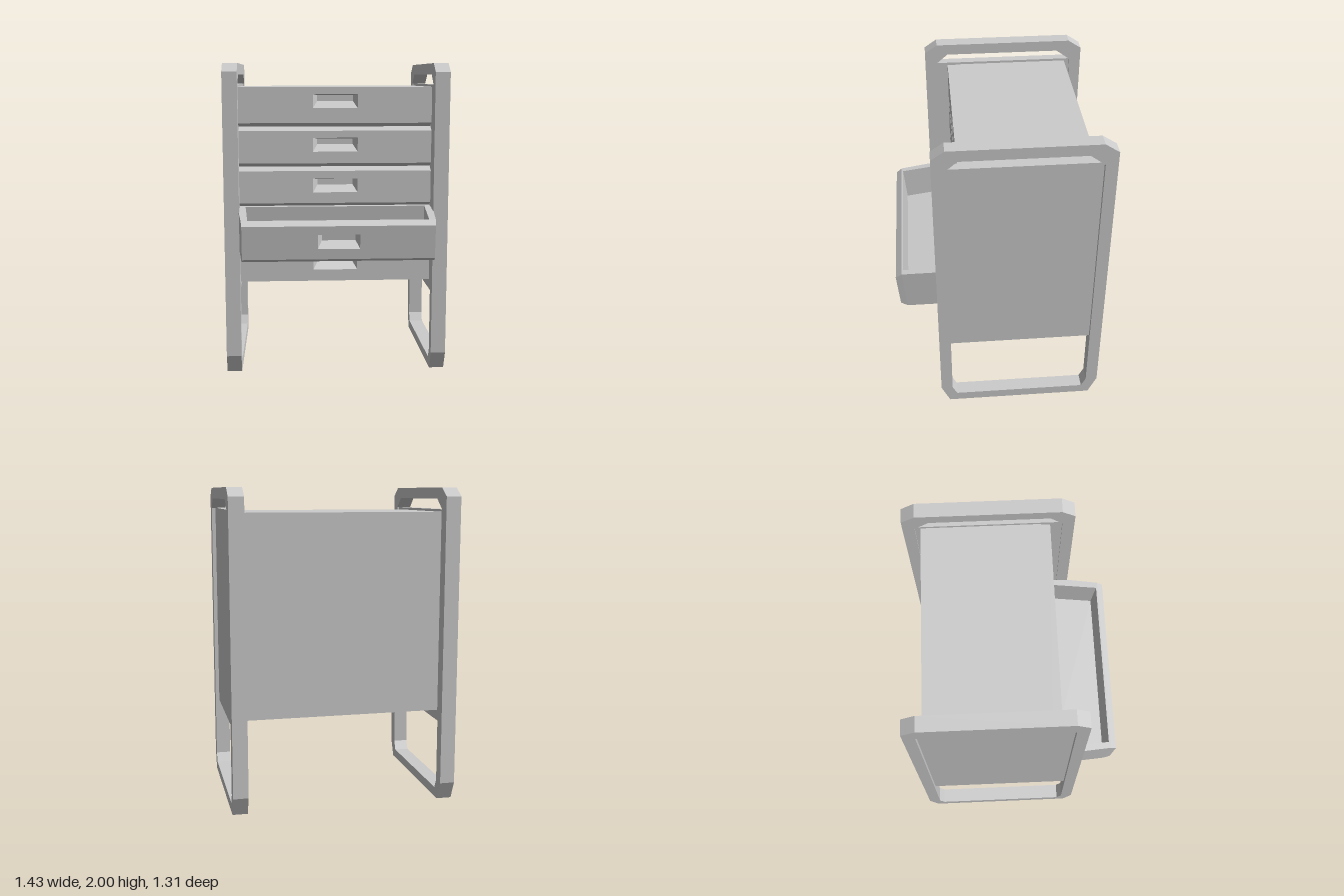
import * as THREE from 'three';

const material = new THREE.MeshStandardMaterial({ color: 0xcccccc, flatShading: true });

function mesh(name, geometry, x = 0, y = 0, z = 0) {
  const m = new THREE.Mesh(geometry, material);
  m.name = name;
  m.position.set(x, y, z);
  return m;
}

const points = (list) => list.map(([x, y]) => new THREE.Vector2(x, y));

function extrude(outline, hole, depth) {
  const shape = new THREE.Shape(points(outline));
  if (hole) shape.holes.push(new THREE.Path(points(hole)));
  return new THREE.ExtrudeGeometry(shape, { depth, bevelEnabled: false });
}

// Drawer front with bevelled edges and a sunken finger pull.
// grow: how far the sides, bottom and top spread towards the back.
function drawerFront({ halfWidth, y0, y1, pullTop, pullHalf, depth, grow }) {
  const pullBottom = pullTop - 0.09;
  const geo = extrude(
    [[-halfWidth, y0], [halfWidth, y0], [halfWidth, y1], [-halfWidth, y1]],
    [[-pullHalf, pullBottom], [-pullHalf, pullTop], [pullHalf, pullTop], [pullHalf, pullBottom]],
    depth
  );
  geo.translate(0, 0, -depth);
  const p = geo.attributes.position;
  const near = (a, b) => Math.abs(a - b) < 1e-5;
  for (let i = 0; i < p.count; i++) {
    if (p.getZ(i) > -depth / 2) continue;
    const x = p.getX(i), y = p.getY(i);
    if (near(Math.abs(x), halfWidth)) {
      p.setX(i, x + Math.sign(x) * grow[0]);
      p.setY(i, near(y, y0) ? y - grow[1] : y + grow[2]);
    } else {
      p.setX(i, x * 0.8);
      p.setY(i, near(y, pullBottom) ? y + 0.045 : y - 0.008);
    }
  }
  geo.computeVertexNormals();
  return geo;
}

// Pulled-out drawer, built around the centre of its front face.
function openDrawer() {
  const drawer = new THREE.Group();
  drawer.name = 'openDrawer';
  drawer.add(mesh('openDrawerFront', drawerFront({
    halfWidth: 0.595, y0: -0.105, y1: 0.105, pullTop: 0.05, pullHalf: 0.13,
    depth: 0.04, grow: [0.005, 0.025, 0.025]
  })));
  // Outlines are drawn with depth as the second axis, then laid flat.
  const outer = [[-0.6, 0.04], [0.6, 0.04], [0.622, 0.25], [0.622, 0.43], [-0.622, 0.43], [-0.622, 0.25]];
  const inner = [[-0.56, 0.05], [-0.585, 0.4], [0.585, 0.4], [0.56, 0.05]];
  const lay = (geo) => geo.rotateX(-Math.PI / 2);
  drawer.add(mesh('drawerWalls', lay(extrude(outer, inner, 0.26)), 0, -0.13, 0));
  drawer.add(mesh('drawerFloor', lay(extrude([...inner].reverse(), null, 0.04)), 0, -0.13, 0));
  drawer.position.set(0, 0.91, 0.645);
  drawer.rotation.x = 0.095;
  return drawer;
}

export function createModel() {
  const model = new THREE.Group();
  model.name = 'drawerCabinet';

  // Side frames: chamfered loops that serve as legs and top rails
  const loop = [[0.35, 0], [0.405, 0.12], [0.405, 1.945], [0.325, 2],
    [-0.57, 2], [-0.655, 1.945], [-0.655, 0.12], [-0.6, 0]];
  const opening = [[0.3, 0.06], [0.33, 0.12], [0.33, 1.865], [0.255, 1.93],
    [-0.49, 1.93], [-0.58, 1.865], [-0.58, 0.12], [-0.55, 0.06]];
  const frameGeo = extrude(loop, opening, 0.095);
  frameGeo.rotateY(-Math.PI / 2).translate(0.0475, 0, 0);

  for (const [side, s] of [['left', 1], ['right', -1]]) {
    model.add(mesh(side + 'Frame', frameGeo, s * 0.6675));
    model.add(mesh(side + 'Panel', new THREE.BoxGeometry(0.06, 1.355, 0.91), s * 0.66, 1.1875, -0.125));
  }

  // Cabinet body
  model.add(mesh('cabinetBody', new THREE.BoxGeometry(1.26, 1.27, 0.745), 0, 1.215, -0.1725));

  // Closed drawers: bottom, top, pull height, bevel below and above
  const fronts = [
    [1.62, 1.85, 1.805, 0.025, 0],
    [1.36, 1.57, 1.525, 0.025, 0.025],
    [1.10, 1.31, 1.26, 0.025, 0.025],
    [0.58, 0.79, 0.745, 0, 0.025]
  ];
  fronts.forEach(([y0, y1, pullTop, below, above], i) => {
    model.add(mesh('drawerFront' + (i + 1), drawerFront({
      halfWidth: 0.625, y0, y1, pullTop, pullHalf: 0.145, depth: 0.055, grow: [0, below, above]
    }), 0, 0, 0.255));
  });

  model.add(openDrawer());
  return model;
}
